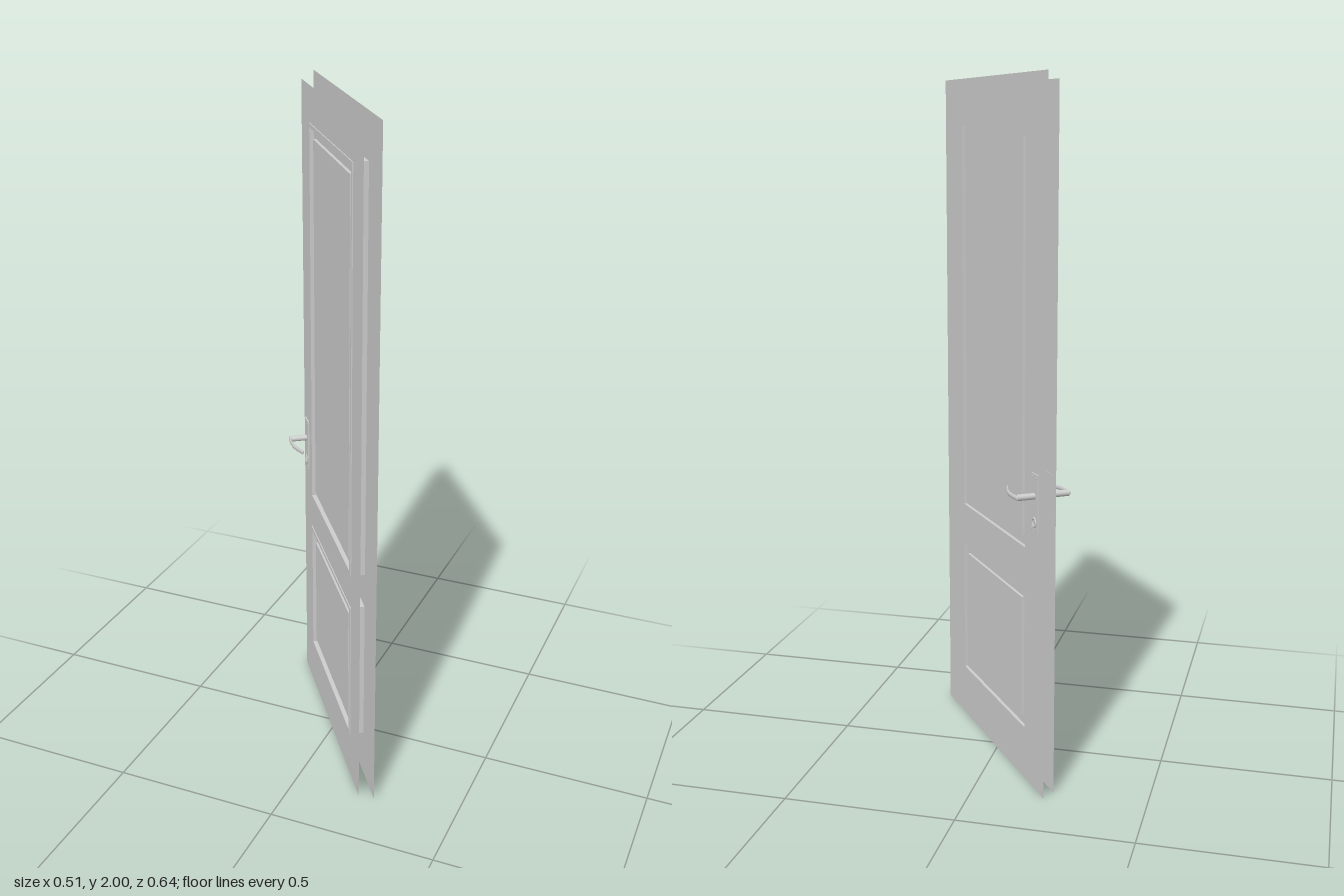
import * as THREE from 'three';

const grey = new THREE.MeshStandardMaterial({ color: 0xcccccc });
const thin = new THREE.MeshStandardMaterial({ color: 0xcccccc, side: THREE.DoubleSide });

const FRONT = 0.0235, BACK = -0.0175, MID = 0.003; // skin planes and mirror plane
const CX = 0.011;                                  // centre along the door's width
const PANELS = [[0.145, 0.585], [0.69, 1.875]];    // bottom and top of each panel core
const HALF = 0.263;                                // half width of a panel core

function add(parent, name, geometry, x = 0, y = 0, z = 0, material = grey) {
  const mesh = new THREE.Mesh(geometry, material);
  mesh.name = name;
  mesh.position.set(x, y, z);
  parent.add(mesh);
  return mesh;
}

function rect(Type, half, y0, y1) {
  const s = new Type();
  s.moveTo(-half, y0);
  s.lineTo(half, y0);
  s.lineTo(half, y1);
  s.lineTo(-half, y1);
  s.closePath();
  return s;
}

// Thin door skin with an opening for each panel
function skin(half, height, inset) {
  const s = rect(THREE.Shape, half, 0, height);
  for (const [y0, y1] of PANELS)
    s.holes.push(rect(THREE.Path, HALF - inset, y0 + inset, y1 - inset));
  return new THREE.ShapeGeometry(s);
}

// Rim, recessed band and raised field of one panel
function panel(y0, y1) {
  const g = new THREE.Group();
  g.name = 'panel';
  const zb = BACK + 0.0005, zf = FRONT + 0.003;
  const rim = rect(THREE.Shape, HALF, y0, y1);
  rim.holes.push(rect(THREE.Path, HALF - 0.012, y0 + 0.011, y1 - 0.011));
  add(g, 'panelRim', new THREE.ExtrudeGeometry(rim, { depth: zf - zb, bevelEnabled: false }), CX, 0, zb);
  const h = y1 - y0, y = (y0 + y1) / 2;
  add(g, 'panelBand', new THREE.BoxGeometry(2 * HALF - 0.022, h - 0.02, 0.02), CX, y, MID);
  add(g, 'raisedField', new THREE.BoxGeometry(2 * HALF - 0.082, h - 0.08, 0.037), CX, y, MID);
  return g;
}

// Handle set, built outward along +z from the skin
function handleSet() {
  const g = new THREE.Group();
  g.name = 'handleSet';
  const u = -0.314, base = FRONT - MID, y = 0.87;
  add(g, 'backPlate', new THREE.BoxGeometry(0.046, 0.165, 0.005), u, 0.85, base + 0.0015);

  const spindle = new THREE.CylinderGeometry(0.009, 0.009, 0.056, 24).rotateX(Math.PI / 2);
  add(g, 'spindle', spindle, u, y, base + 0.029);

  const curve = new THREE.CatmullRomCurve3([
    [u - 0.006, 0.077], [-0.29, 0.0795], [-0.255, 0.077], [-0.205, 0.06],
  ].map(([a, w]) => new THREE.Vector3(a, 0, w)));
  const lever = add(g, 'lever', new THREE.TubeGeometry(curve, 24, 0.0038, 12), 0, y, 0);
  lever.scale.y = 1.8;
  for (const t of [0, 1]) {
    const p = curve.getPoint(t);
    add(g, 'leverEnd', new THREE.SphereGeometry(0.0038, 12, 8), p.x, y, p.z).scale.y = 1.8;
  }

  // Keyhole surround and plate screws
  add(g, 'keyholeRing', new THREE.TorusGeometry(0.012, 0.003, 8, 24), u, 0.795, base + 0.004);
  for (const sx of [-1, 1]) for (const sy of [0.777, 0.923])
    add(g, 'screw', new THREE.CylinderGeometry(0.003, 0.003, 0.002, 10).rotateX(Math.PI / 2),
      u + sx * 0.016, sy, base + 0.0045);
  return g;
}

export function createModel() {
  const model = new THREE.Group();
  model.name = 'door';
  const leaf = new THREE.Group();
  leaf.name = 'doorLeaf';
  leaf.rotation.y = -0.944; // door stands ajar
  model.add(leaf);

  add(leaf, 'frontSkin', skin(0.37, 1.98, 0), CX, 0, FRONT, thin);
  add(leaf, 'backSkin', skin(0.392, 2, 0.0115).rotateY(Math.PI), CX, 0, BACK, thin);
  for (const [y0, y1] of PANELS) leaf.add(panel(y0, y1));

  // Matching handles on both faces
  for (const side of [1, -1]) {
    const h = handleSet();
    h.position.z = MID;
    h.scale.z = side;
    leaf.add(h);
  }
  return model;
}
